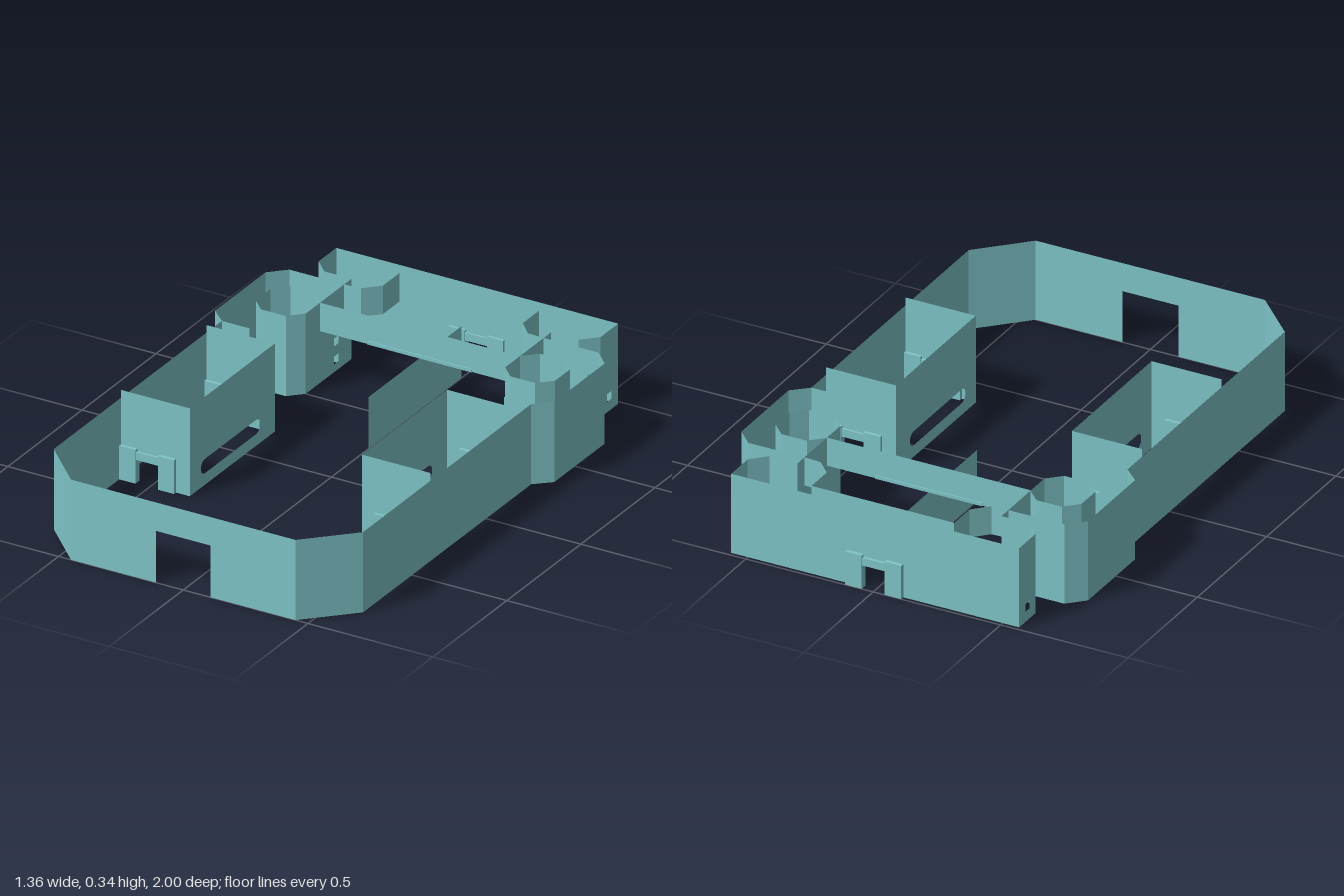
import * as THREE from 'three';

const H = 0.31;
const mat = new THREE.MeshStandardMaterial({ color: 0x7fc4c8, flatShading: true, side: THREE.DoubleSide });

// Thin upright panel from a to b (x, z); notch and holes are [u0, v0, u1, v1] along the panel
function panel(name, a, b, { y0 = 0, y1 = H, notch, holes = [], round = false } = {}) {
  const dx = b[0] - a[0], dz = b[1] - a[1], len = Math.hypot(dx, dz);
  const s = new THREE.Shape();
  s.moveTo(0, y0);
  if (notch) {
    s.lineTo(notch[0], y0);
    s.lineTo(notch[0], notch[3]);
    s.lineTo(notch[2], notch[3]);
    s.lineTo(notch[2], y0);
  }
  s.lineTo(len, y0);
  s.lineTo(len, y1);
  s.lineTo(0, y1);
  s.closePath();
  for (const [u0, v0, u1, v1] of holes) {
    const h = new THREE.Path();
    if (round) {
      const r = (v1 - v0) / 2, v = (v0 + v1) / 2;
      h.absarc(u0 + r, v, r, Math.PI / 2, Math.PI * 1.5);
      h.absarc(u1 - r, v, r, -Math.PI / 2, Math.PI / 2);
    } else {
      h.moveTo(u0, v0);
      h.lineTo(u0, v1);
      h.lineTo(u1, v1);
      h.lineTo(u1, v0);
    }
    h.closePath();
    s.holes.push(h);
  }
  const m = new THREE.Mesh(new THREE.ShapeGeometry(s, 8), mat);
  m.name = name;
  m.position.set(a[0], 0, a[1]);
  m.rotation.y = Math.atan2(-dz, dx);
  return m;
}

// Chain of panels through a list of (x, z) corners
function wall(name, pts, opts) {
  const g = new THREE.Group();
  g.name = name;
  for (let i = 0; i + 1 < pts.length; i++) g.add(panel(name + 'Panel', pts[i], pts[i + 1], opts));
  return g;
}

function box(name, w, h, d, x, y, z) {
  const m = new THREE.Mesh(new THREE.BoxGeometry(w, h, d), mat);
  m.name = name;
  m.position.set(x, y, z);
  return m;
}

// Snap clip: two legs joined by a bar
function clip(x, z) {
  const g = new THREE.Group();
  g.name = 'clip';
  for (const s of [-1, 1]) g.add(box('clipLeg', 0.065, 0.13, 0.026, s * 0.0775, 0.065, 0));
  g.add(box('clipBar', 0.09, 0.03, 0.018, 0, 0.105, 0));
  g.position.set(x, 0, z);
  return g;
}

export function createModel() {
  const model = new THREE.Group();
  model.name = 'frame';

  // Front wall with its doorway
  model.add(panel('frontWall', [-0.45, 1], [0.45, 1], { notch: [0.34, 0, 0.56, 0.2] }));

  // Back wall with peg hole and clip opening
  model.add(panel('backWall', [-0.565, -0.985], [0.565, -0.985], {
    notch: [0.52, 0, 0.61, 0.09], holes: [[0.55, 0.245, 0.58, 0.275]],
  }));
  model.add(clip(0, -0.987));

  for (const s of [-1, 1]) {
    const side = new THREE.Group();
    side.name = s > 0 ? 'leftSide' : 'rightSide';
    const p = (...pts) => pts.map(([x, z]) => [s * x, z]);

    // Outer shell
    side.add(wall('outerWall', p([0.45, 1], [0.62, 0.83], [0.62, -0.305], [0.68, -0.36], [0.68, -0.7], [0.62, -0.76])));
    side.add(panel('shoulderWall', ...p([0.62, -0.76], [0.4, -0.76]), { holes: [[0.015, 0.185, 0.045, 0.215]] }));
    side.add(wall('shoulderStub', p([0.62, -0.305], [0.51, -0.305])));

    // Return of the back wall
    side.add(panel('backReturn', ...p([0.565, -0.985], [0.565, -0.866]), { holes: [[0.045, 0.04, 0.075, 0.07]] }));
    side.add(wall('backReturnInner', p([0.565, -0.866], [0.51, -0.81], [0.4, -0.81])));

    // Tall side bay with a rounded slot and clips at both ends
    const bay = { y1: 0.34 };
    side.add(panel('bayInnerWall', ...p([0.345, 0.375], [0.345, -0.2]), {
      ...bay, holes: [[0.075, 0.045, 0.475, 0.1]], round: true,
    }));
    for (const z of [0.375, -0.2]) {
      side.add(panel('bayEndWall', ...p([0.345, z], [0.62, z]), { ...bay, notch: [0.12, 0, 0.21, 0.09] }));
      side.add(clip(s * 0.51, z));
    }

    // Octagonal post pocket
    const oct = [];
    for (const [a, b] of [[-1, -0.5], [-1, 0.5], [-0.5, 1], [0.5, 1], [1, 0.5], [1, -0.5], [0.5, -1], [-0.5, -1], [-1, -0.5]])
      oct.push([0.5 + a * 0.1, -0.55 + b * 0.1]);
    side.add(wall('postPocket', p(...oct)));

    // Cross wall between pocket and back, with two small windows
    side.add(panel('pocketLink', ...p([0.4, -0.6], [0.4, -0.81]), {
      holes: [[0.09, 0.03, 0.12, 0.06], [0.09, 0.1, 0.12, 0.13]],
    }));

    // Sides of the rear trough
    side.add(wall('troughSide', p([0.4, -0.76], [0.335, -0.763], [0.28, -0.82], [0.28, -0.93]), { y0: 0.2 }));
    model.add(side);
  }

  // Rear trough and its front rail
  model.add(panel('troughBack', [-0.28, -0.93], [0.28, -0.93], { y0: 0.2 }));
  model.add(panel('troughFront', [-0.4, -0.597], [0.4, -0.597], { y0: 0.2 }));
  model.add(box('troughLip', 0.42, 0.012, 0.008, 0, 0.206, -0.597));

  // Centre rib
  model.add(panel('centreRib', [0, -0.25], [0, -0.88], { y1: 0.2 }));
  return model;
}
